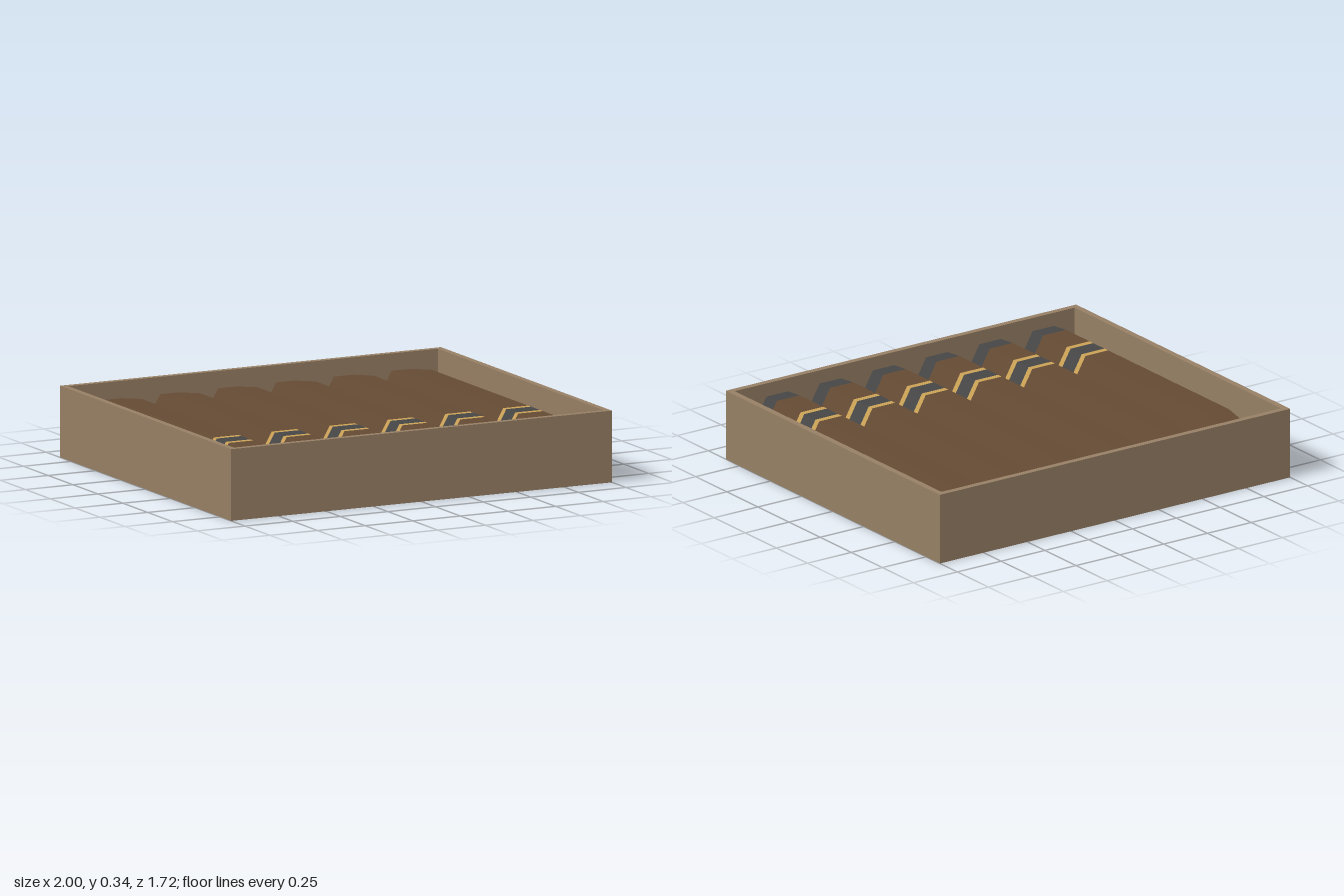
import * as THREE from 'three';

const mat = (name, color) => {
  const m = new THREE.MeshStandardMaterial({ color });
  m.name = name;
  return m;
};

export function createModel() {
  const wood = mat('wood', 0x967f64);
  const red = mat('red lining', 0xb9333b);
  const leaf = mat('brown leaf', 0x644a33);
  const dark = mat('charcoal', 0x464646);
  const gold = mat('gold', 0xc9a055);

  const W = 2, D = 1.72, H = 0.34, T = 0.03, FLOOR = 0.07;
  const R = 0.13;

  const model = new THREE.Group();
  model.name = 'cigarBox';
  const add = (parent, name, geometry, material, x = 0, y = 0, z = 0) => {
    const mesh = new THREE.Mesh(geometry, material);
    mesh.name = name;
    mesh.position.set(x, y, z);
    parent.add(mesh);
  };

  // Open box: a rectangular frame of walls around a floor
  const rect = (P, w, d) => {
    const p = new P();
    p.moveTo(-w / 2, -d / 2);
    p.lineTo(w / 2, -d / 2);
    p.lineTo(w / 2, d / 2);
    p.lineTo(-w / 2, d / 2);
    p.closePath();
    return p;
  };
  const frame = rect(THREE.Shape, W, D);
  frame.holes.push(rect(THREE.Path, W - 2 * T, D - 2 * T));
  const walls = new THREE.ExtrudeGeometry(frame, { depth: H, bevelEnabled: false });
  walls.rotateX(-Math.PI / 2);
  add(model, 'boxWalls', walls, wood);
  const slab = FLOOR - 0.008;
  add(model, 'boxFloor', new THREE.BoxGeometry(W - 2 * T, slab, D - 2 * T), wood, 0, slab / 2);
  add(model, 'floorLining', new THREE.BoxGeometry(W - 2 * T, 0.008, D - 2 * T), red, 0, FLOOR - 0.004);

  // Faceted six-sided sleeve along z with a flat top
  const sleeve = (z0, z1, r0, r1) => {
    const g = new THREE.CylinderGeometry(r1, r0, z1 - z0, 6, 1, true);
    g.rotateY(Math.PI / 2);
    g.rotateX(Math.PI / 2);
    g.translate(0, 0, (z0 + z1) / 2);
    const flat = g.toNonIndexed();
    flat.computeVertexNormals();
    return flat;
  };

  // Cigar sections from back to front: name, z range, end radii, colour
  const rBack = 0.1, rFront = 0.122;
  const parts = [
    ['cigarHead', -0.78, -0.6, rBack, R, leaf],
    ['cigarBody', -0.6, 0.37, R, R, leaf],
    ['bandEdgeBack', 0.37, 0.4, R, R, gold],
    ['band', 0.4, 0.49, R, R, dark],
    ['bandEdgeFront', 0.49, 0.52, R, R, gold],
    ['cigarFoot', 0.52, 0.71, R, R, leaf],
    ['ashTip', 0.71, 0.8, R, rFront, dark],
  ].map(([name, z0, z1, r0, r1, m]) => [name, sleeve(z0, z1, r0, r1), m]);
  parts.push(['headCap', new THREE.CircleGeometry(rBack, 6).rotateY(Math.PI).translate(0, 0, -0.78), leaf]);
  parts.push(['ashCap', new THREE.CircleGeometry(rFront, 6).translate(0, 0, 0.8), dark]);

  // Row of six cigars lying on the lining
  for (let i = 0; i < 6; i++) {
    const cigar = new THREE.Group();
    cigar.name = 'cigar' + (i + 1);
    cigar.position.set(-0.77 + i * 0.304, FLOOR + R * Math.cos(Math.PI / 6), 0);
    for (const [name, geometry, material] of parts) add(cigar, name, geometry, material);
    model.add(cigar);
  }
  return model;
}
